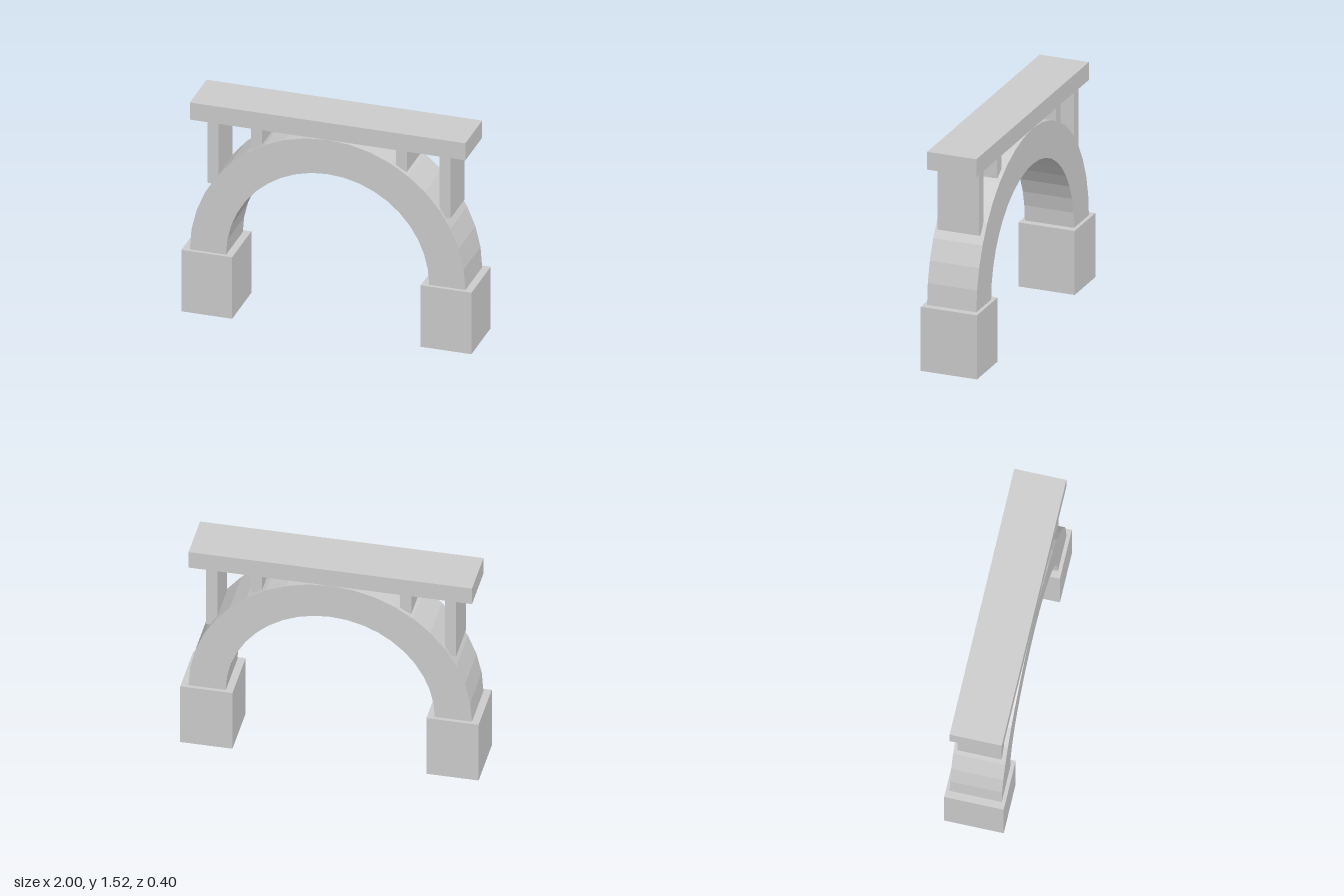
import * as THREE from 'three';

export function createModel() {
  const model = new THREE.Group();
  model.name = 'archBridge';
  const material = new THREE.MeshStandardMaterial({ color: 0xcccccc, flatShading: true });

  const springY = 0.45, outerR = 0.95, innerR = 0.7, width = 0.35, deckBottom = 1.4;

  function addBox(name, x, bottom, top, sizeX, sizeZ) {
    const mesh = new THREE.Mesh(new THREE.BoxGeometry(sizeX, top - bottom, sizeZ), material);
    mesh.name = name;
    mesh.position.set(x, (bottom + top) / 2, 0);
    model.add(mesh);
  }

  // Half-ring arch, 20 facets around
  const ring = new THREE.Shape();
  ring.absarc(0, 0, outerR, 0, Math.PI, false);
  ring.absarc(0, 0, innerR, Math.PI, 0, true);
  const archGeometry = new THREE.ExtrudeGeometry(ring, { depth: width, bevelEnabled: false, curveSegments: 10 });
  archGeometry.translate(0, springY, -width / 2);
  const arch = new THREE.Mesh(archGeometry, material);
  arch.name = 'arch';
  model.add(arch);

  // Flat deck resting on the crown
  addBox('deck', 0, deckBottom, 1.525, 1.9, width);

  for (const [side, label] of [[1, 'left'], [-1, 'right']]) {
    // Footing block under each end of the arch
    addBox(label + 'Abutment', side * 0.825, 0, springY, 0.35, 0.4);

    // Spandrel walls, sunk slightly into the arch
    for (const [x, kind] of [[0.5, 'Inner'], [0.8, 'Outer']]) {
      const bottom = springY + Math.sqrt(outerR * outerR - x * x) - 0.02;
      addBox(label + kind + 'SpandrelWall', side * x, bottom, deckBottom, 0.075, 0.295);
    }
  }
  return model;
}
